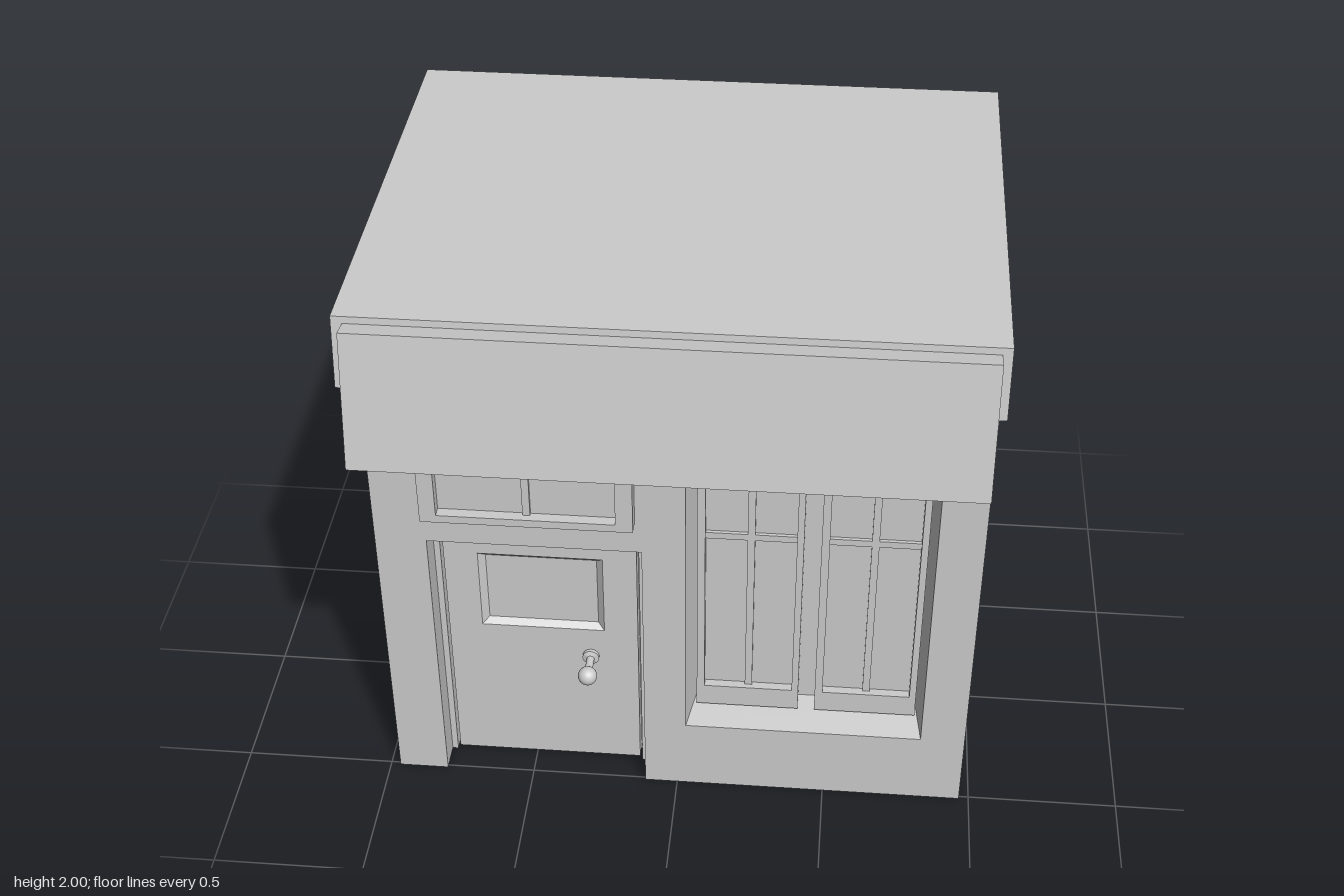
import * as THREE from 'three';
import { toCreasedNormals } from 'three/addons/utils/BufferGeometryUtils.js';

const material = new THREE.MeshStandardMaterial({ color: 0xcccccc });

function add(parent, name, geometry) {
  const mesh = new THREE.Mesh(geometry, material);
  mesh.name = name;
  parent.add(mesh);
  return mesh;
}

// Rectangles are [x0, x1, y0, y1]
const corners = ([x0, x1, y0, y1]) => [[x0, y0], [x1, y0], [x1, y1], [x0, y1]].map(p => new THREE.Vector2(...p));

function box([x0, x1, y0, y1], z0, z1) {
  return new THREE.BoxGeometry(x1 - x0, y1 - y0, z1 - z0)
    .translate((x0 + x1) / 2, (y0 + y1) / 2, (z0 + z1) / 2);
}

// Slab between z0 and z1 with rectangular holes
function slab(outline, holes, z0, z1) {
  const shape = new THREE.Shape(outline);
  for (const h of holes) shape.holes.push(new THREE.Path(corners(h)));
  return new THREE.ExtrudeGeometry(shape, { depth: z1 - z0, bevelEnabled: false }).translate(0, 0, z0);
}

// Four sloping faces from an outer rectangle at zo to a smaller one at zi
function slopedReveal(outer, inner, zo, zi) {
  const o = corners(outer), n = corners(inner), pos = [];
  for (let i = 0; i < 4; i++) {
    const j = (i + 1) % 4;
    const a = [o[i].x, o[i].y, zo], b = [o[j].x, o[j].y, zo];
    const c = [n[j].x, n[j].y, zi], d = [n[i].x, n[i].y, zi];
    pos.push(...a, ...b, ...c, ...a, ...c, ...d);
  }
  const g = new THREE.BufferGeometry();
  g.setAttribute('position', new THREE.Float32BufferAttribute(pos, 3));
  g.computeVertexNormals();
  return g;
}

// Side profile of [z, y] points, extruded along x
function sideProfile(points, x0, x1) {
  const shape = new THREE.Shape(points.map(([z, y]) => new THREE.Vector2(-z, y)));
  const g = new THREE.ExtrudeGeometry(shape, { depth: x1 - x0, bevelEnabled: false });
  return toCreasedNormals(g.rotateY(Math.PI / 2).translate(x0, 0, 0), 0.4);
}

// Frame with a recessed pane and thin crossing bars
function glazing(parent, name, outer, pane, z0, z1, paneZ) {
  const group = new THREE.Group();
  group.name = name;
  add(group, 'frame', slab(corners(outer), [pane], z0, z1));
  add(group, 'pane', box(pane, z0, paneZ));
  const [x0, x1, y0, y1] = pane, cx = (x0 + x1) / 2, cy = (y0 + y1) / 2, w = 0.012;
  add(group, 'verticalBar', box([cx - w, cx + w, y0, y1], paneZ, paneZ + 0.012));
  add(group, 'horizontalBar', box([x0, x1, cy - w, cy + w], paneZ, paneZ + 0.012));
  parent.add(group);
}

export function createModel() {
  const model = new THREE.Group();
  model.name = 'shopfront';
  const X = 0.967, front = 0.51, back = 0.36;

  // Main block with overhanging roof and sloped rear edge
  add(model, 'building', sideProfile([
    [-0.855, 0], [back, 0], [back, 1.775], [0.745, 1.775],
    [0.71, 2], [-0.815, 2], [-0.855, 1.775],
  ], -X, X));

  // Front wall with a door notch and a window opening
  const opening = [0.03, 0.82, 0.27, 1.75];
  const wall = [
    [-X, 0], [-0.8, 0], [-0.8, 1.02], [-0.11, 1.02], [-0.11, 0], [X, 0], [X, 1.775], [-X, 1.775],
  ].map(p => new THREE.Vector2(...p));
  add(model, 'frontWall', slab(wall, [opening], back, front));

  // Tilted fascia board
  add(model, 'fascia', sideProfile([
    [0.78, 1.99], [0.71, 1.978], [0.788, 1.55], [0.857, 1.562],
  ], -0.933, 0.937));

  // Tall double window
  add(model, 'windowReveal', slopedReveal(opening, [0.06, 0.797, 0.302, 1.72], front, back));
  for (const [name, x0, x1] of [['leftSash', 0.458, 0.797], ['rightSash', 0.06, 0.402]]) {
    glazing(model, name, [x0, x1, 0.298, 1.73], [x0 + 0.026, x1 - 0.022, 0.38, 1.66], back, 0.425, 0.395);
  }

  // Protruding window above the door
  glazing(model, 'upperWindow', [-0.803, -0.13, 1.14, 1.675], [-0.75, -0.185, 1.168, 1.647], front - 0.01, 0.562, 0.525);

  // Door with a sunken panel
  const door = new THREE.Group();
  door.name = 'door';
  const doorRect = [-0.772, -0.138, 0.012, 1.014];
  const sunken = [-0.66, -0.25, 0.588, 0.895], inner = [-0.638, -0.272, 0.606, 0.873];
  add(door, 'doorLeaf', slab(corners(doorRect), [sunken], back, 0.41));
  add(door, 'panelBevel', slopedReveal(sunken, inner, 0.41, 0.388));
  add(door, 'panel', box(sunken, back, 0.388));
  for (const x of [-0.8, -0.13]) add(door, 'jamb', box([x, x + 0.02, 0, 1.02], back, 0.415));

  // Door knob on a stem with a round plate
  const knob = new THREE.LatheGeometry([
    [0, 0], [0.028, 0], [0.028, 0.012], [0.013, 0.018], [0.013, 0.07],
  ].map(p => new THREE.Vector2(...p)), 20);
  add(door, 'knobStem', toCreasedNormals(knob.rotateX(Math.PI / 2), 0.6)).position.set(-0.298, 0.473, 0.41);
  add(door, 'knob', new THREE.SphereGeometry(0.032, 24, 16)).position.set(-0.298, 0.473, 0.51);
  model.add(door);

  return model;
}
